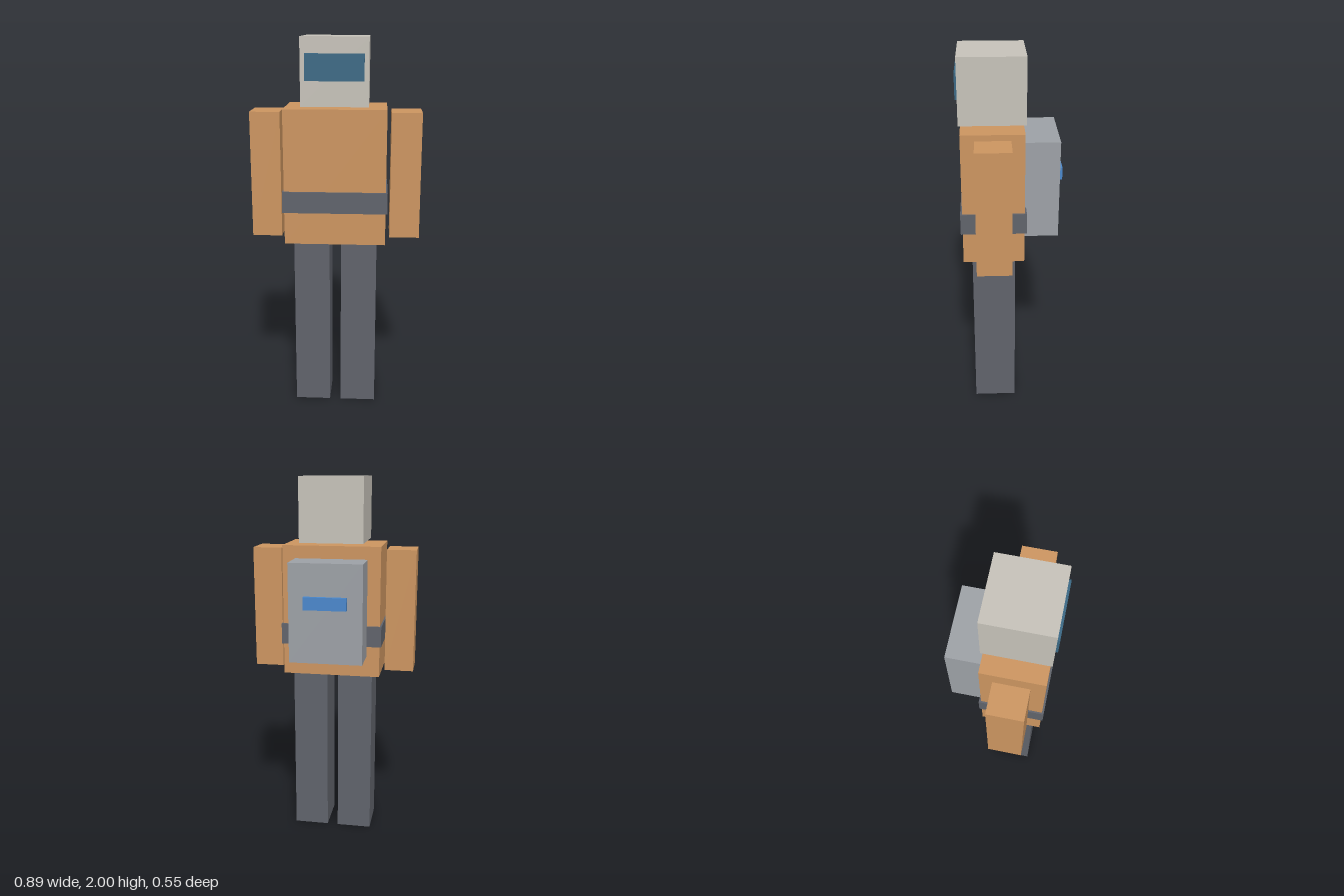
import * as THREE from 'three';

export function createModel() {
  const model = new THREE.Group();
  model.name = 'backpackFigure';

  const material = (name, color) => {
    const m = new THREE.MeshStandardMaterial({ color });
    m.name = name;
    return m;
  };
  const orange = material('orange suit', 0xcc9560);
  const charcoal = material('charcoal', 0x60636b);
  const bone = material('bone white', 0xc6c2b9);
  const grey = material('pack grey', 0x9da1a6);
  const visorBlue = material('visor blue', 0x3a6884);
  const lightBlue = material('light blue', 0x4a88cc);

  // Box given by its extents on each axis
  const box = (name, mat, [x0, x1], [y0, y1], [z0, z1]) => {
    const mesh = new THREE.Mesh(new THREE.BoxGeometry(x1 - x0, y1 - y0, z1 - z0), mat);
    mesh.position.set((x0 + x1) / 2, (y0 + y1) / 2, (z0 + z1) / 2);
    mesh.name = name;
    model.add(mesh);
  };
  const centred = (half) => [-half, half];

  // Head and visor
  box('head', bone, centred(0.171), [1.66, 2], [-0.08, 0.261]);
  box('visor', visorBlue, centred(0.148), [1.787, 1.92], [0.261, 0.2725]);

  // Torso and belt
  box('torso', orange, centred(0.264), [0.94, 1.646], [-0.069, 0.251]);
  box('belt', charcoal, centred(0.273), [1.11, 1.222], [-0.08, 0.261]);

  // Backpack with its light strip
  box('backpack', grey, centred(0.194), [1.053, 1.578], [-0.251, -0.069]);
  box('backpackLight', lightBlue, centred(0.113), [1.34, 1.407], [-0.2725, -0.251]);

  // Arms and legs, mirrored
  for (const [side, s] of [['left', 1], ['right', -1]]) {
    const span = (a, b) => (s > 0 ? [a, b] : [-b, -a]);
    box(side + 'Arm', orange, span(0.287, 0.444), [0.962, 1.624], [0.001, 0.181]);
    box(side + 'Leg', charcoal, span(0.03, 0.22), [0, 0.94], [-0.023, 0.205]);
  }

  return model;
}
